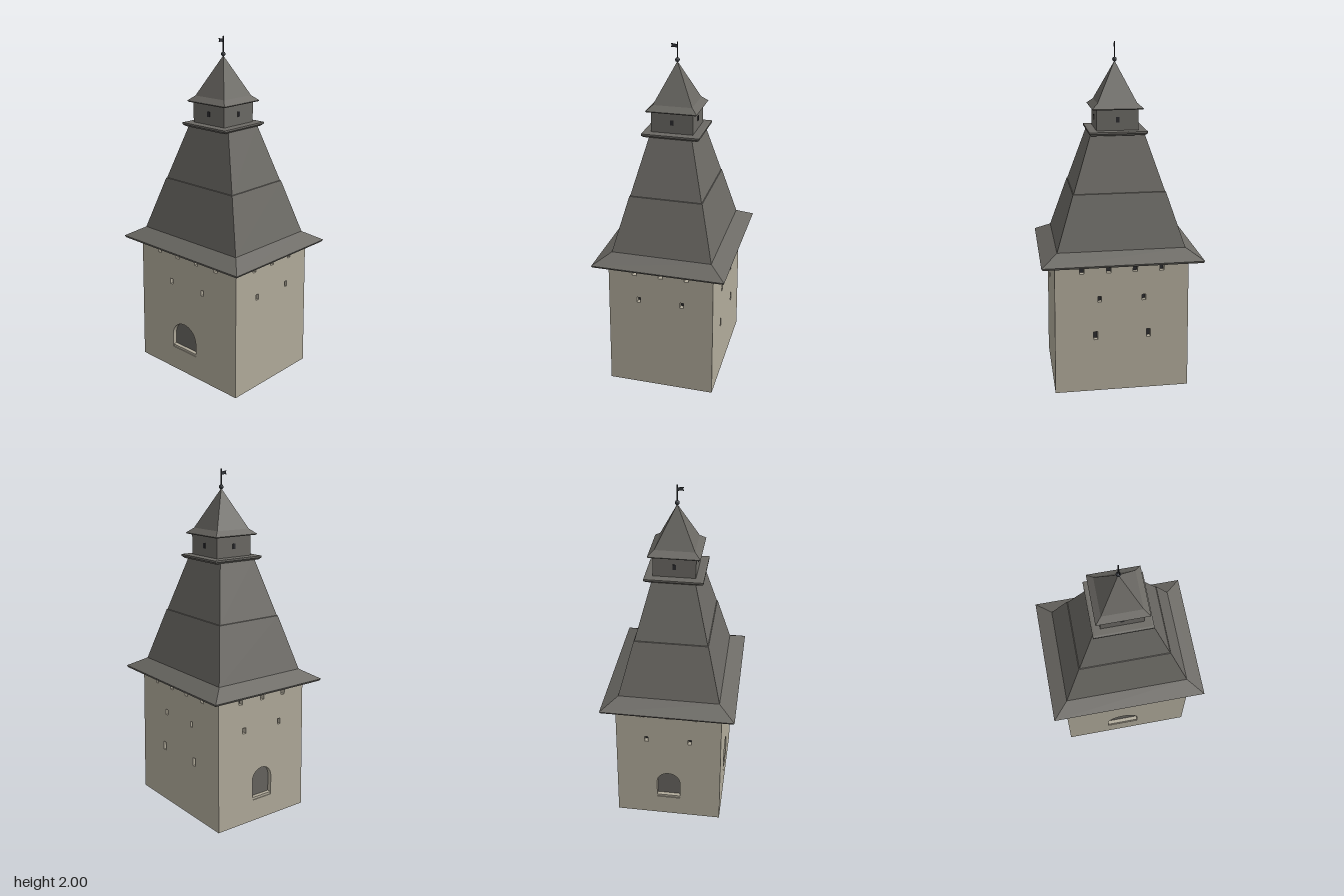
import * as THREE from 'three';

const mat = (color) => new THREE.MeshStandardMaterial({ color, flatShading: true });
const stone = mat(0xb0aa9a), shingle = mat(0x6b6964), panelGrey = mat(0x66645f), dark = mat(0x2a2a2d), iron = mat(0x33363b);

const WALL_H = 0.8, THICK = 0.03;
const BASE = [0.395, 0.315], TOP = [0.385, 0.308];
const lerp = THREE.MathUtils.lerp;

function add(parent, name, geometry, material, x = 0, y = 0, z = 0) {
  const mesh = new THREE.Mesh(geometry, material);
  mesh.name = name;
  mesh.position.set(x, y, z);
  parent.add(mesh);
  return mesh;
}

// Stack of rectangular sections [y, halfX, halfZ], closed at both ends
function stack(sections) {
  const corners = [[-1, 1], [1, 1], [1, -1], [-1, -1]];
  const rings = sections.map(([y, hx, hz]) => corners.map(([sx, sz]) => [sx * hx, y, sz * hz]));
  const pos = [];
  const quad = (a, b, c, d) => [a, b, c, a, c, d].forEach((p) => pos.push(...p));
  for (let i = 0; i < rings.length - 1; i++) {
    for (let k = 0; k < 4; k++) {
      const n = (k + 1) % 4;
      quad(rings[i][k], rings[i][n], rings[i + 1][n], rings[i + 1][k]);
    }
  }
  quad(...[...rings[0]].reverse());
  quad(...rings[rings.length - 1]);
  const g = new THREE.BufferGeometry();
  g.setAttribute('position', new THREE.Float32BufferAttribute(pos, 3));
  g.computeVertexNormals();
  return g;
}

// Rectangular or round-headed outline, used for holes and for door panels
function outline(path, { x, y, w, h, arch }) {
  const l = x - w / 2, r = x + w / 2;
  path.moveTo(l, y);
  path.lineTo(r, y);
  if (arch) {
    path.lineTo(r, y + h - w / 2);
    path.absarc(x, y + h - w / 2, w / 2, 0, Math.PI, false);
  } else {
    path.lineTo(r, y + h);
    path.lineTo(l, y + h);
  }
  path.closePath();
  return path;
}

// One battered wall with recessed openings; axis 0 spans x, axis 1 spans z
function wall(name, axis, angle, openings) {
  const group = new THREE.Group();
  group.name = name;
  const widthAt = (y) => lerp(BASE[axis], TOP[axis], y / WALL_H);
  const faceAt = (y) => lerp(BASE[1 - axis], TOP[1 - axis], y / WALL_H);
  const shape = new THREE.Shape([
    [-BASE[axis], 0], [BASE[axis], 0], [TOP[axis], WALL_H], [-TOP[axis], WALL_H],
  ].map((p) => new THREE.Vector2(...p)));
  openings.forEach((o) => shape.holes.push(outline(new THREE.Path(), o)));

  // Lean the surface inward and mitre the back edges at the corners
  const lean = (g) => {
    const p = g.attributes.position;
    for (let i = 0; i < p.count; i++) {
      const x = p.getX(i), y = p.getY(i), z = p.getZ(i);
      if (Math.abs(x) > widthAt(y) - 0.001) p.setX(i, x + Math.sign(x) * z);
      p.setZ(i, z + faceAt(y));
    }
    g.computeVertexNormals();
    return g;
  };
  const body = new THREE.ExtrudeGeometry(shape, { depth: THICK, bevelEnabled: false, curveSegments: 16 });
  add(group, 'wall', lean(body.translate(0, 0, -THICK)), stone);

  openings.filter((o) => o.arch).forEach((o) => {
    const panel = new THREE.ShapeGeometry(outline(new THREE.Shape(), o), 16).translate(0, 0, -THICK + 0.003);
    add(group, 'doorPanel', lean(panel), panelGrey);
    const sill = new THREE.BoxGeometry(o.w, 0.014, 0.024).translate(o.x, o.y + 0.007, -0.016);
    add(group, 'doorSill', lean(sill), stone);
  });
  group.rotation.y = angle;
  return group;
}

export function createModel() {
  const tower = new THREE.Group();
  tower.name = 'tower';

  // Openings
  const upper = (xs) => xs.map((x) => ({ x, y: 0.732, w: 0.026, h: 0.052 }));
  const middle = [-0.13, 0.127].map((x) => ({ x, y: 0.557, w: 0.022, h: 0.034 }));
  const lower = [-0.155, 0.155].map((x) => ({ x, y: 0.325, w: 0.024, h: 0.05 }));
  const wide = upper([-0.232, -0.078, 0.076, 0.23]), narrow = upper([-0.154, 0, 0.154]);
  const frontDoor = { x: -0.027, y: 0.143, w: 0.196, h: 0.177, arch: true };
  const sideDoor = { x: 0, y: 0.13, w: 0.14, h: 0.19, arch: true };

  // Walls around a dark core that shows through the slits
  tower.add(
    wall('frontWall', 0, 0, [...wide, ...middle, frontDoor]),
    wall('backWall', 0, Math.PI, [...wide, ...middle, ...lower]),
    wall('plainSideWall', 1, Math.PI / 2, [...narrow, ...middle]),
    wall('doorSideWall', 1, -Math.PI / 2, [...narrow, ...middle, sideDoor]),
  );
  const inset = THICK - 0.001;
  add(tower, 'darkCore', stack([
    [0.01, BASE[0] - inset, BASE[1] - inset], [WALL_H, TOP[0] - inset, TOP[1] - inset],
  ]), dark);
  add(tower, 'floor', stack([
    [0, BASE[0] - inset, BASE[1] - inset], [0.009, BASE[0] - inset, BASE[1] - inset],
  ]), stone);

  // Flared main roof with a small lap halfway up
  add(tower, 'mainRoof', stack([
    [0.79, 0.455, 0.38], [0.802, 0.462, 0.385], [0.858, 0.368, 0.291],
    [1.17, 0.266, 0.211], [1.172, 0.262, 0.207], [1.5, 0.152, 0.121],
  ]), shingle);

  // Lantern: ledge, body with a window on each side, flared cap
  add(tower, 'lanternLedge', stack([
    [1.49, 0.153, 0.153], [1.502, 0.166, 0.166], [1.512, 0.166, 0.166], [1.514, 0.155, 0.155],
  ]), shingle);
  add(tower, 'lanternBody', stack([[1.51, 0.12, 0.12], [1.64, 0.12, 0.12]]), shingle);
  for (let i = 0; i < 4; i++) {
    const a = (i * Math.PI) / 2;
    const w = add(tower, 'lanternWindow', new THREE.BoxGeometry(0.02, 0.03, 0.004), dark,
      Math.sin(a) * 0.12, 1.575, Math.cos(a) * 0.12);
    w.rotation.y = a;
  }
  add(tower, 'lanternRoof', stack([
    [1.632, 0.142, 0.142], [1.638, 0.146, 0.146], [1.667, 0.112, 0.112], [1.89, 0.001, 0.001],
  ]), shingle);

  // Finial with a swallow-tailed vane pointing forward
  add(tower, 'finialBall', new THREE.SphereGeometry(0.013, 16, 12), iron, 0, 1.9, 0);
  add(tower, 'finialPole', new THREE.CylinderGeometry(0.003, 0.003, 0.13, 8), iron, 0, 1.935, 0);
  const vane = new THREE.Shape([
    [0, 1.966], [0.022, 1.97], [0.037, 1.968], [0.031, 1.979], [0.037, 1.99], [0.022, 1.988], [0, 1.984],
  ].map((p) => new THREE.Vector2(...p)));
  const vaneGeo = new THREE.ExtrudeGeometry(vane, { depth: 0.003, bevelEnabled: false });
  add(tower, 'vane', vaneGeo.translate(0, 0, -0.0015), iron).rotation.y = -Math.PI / 2;

  return tower;
}
